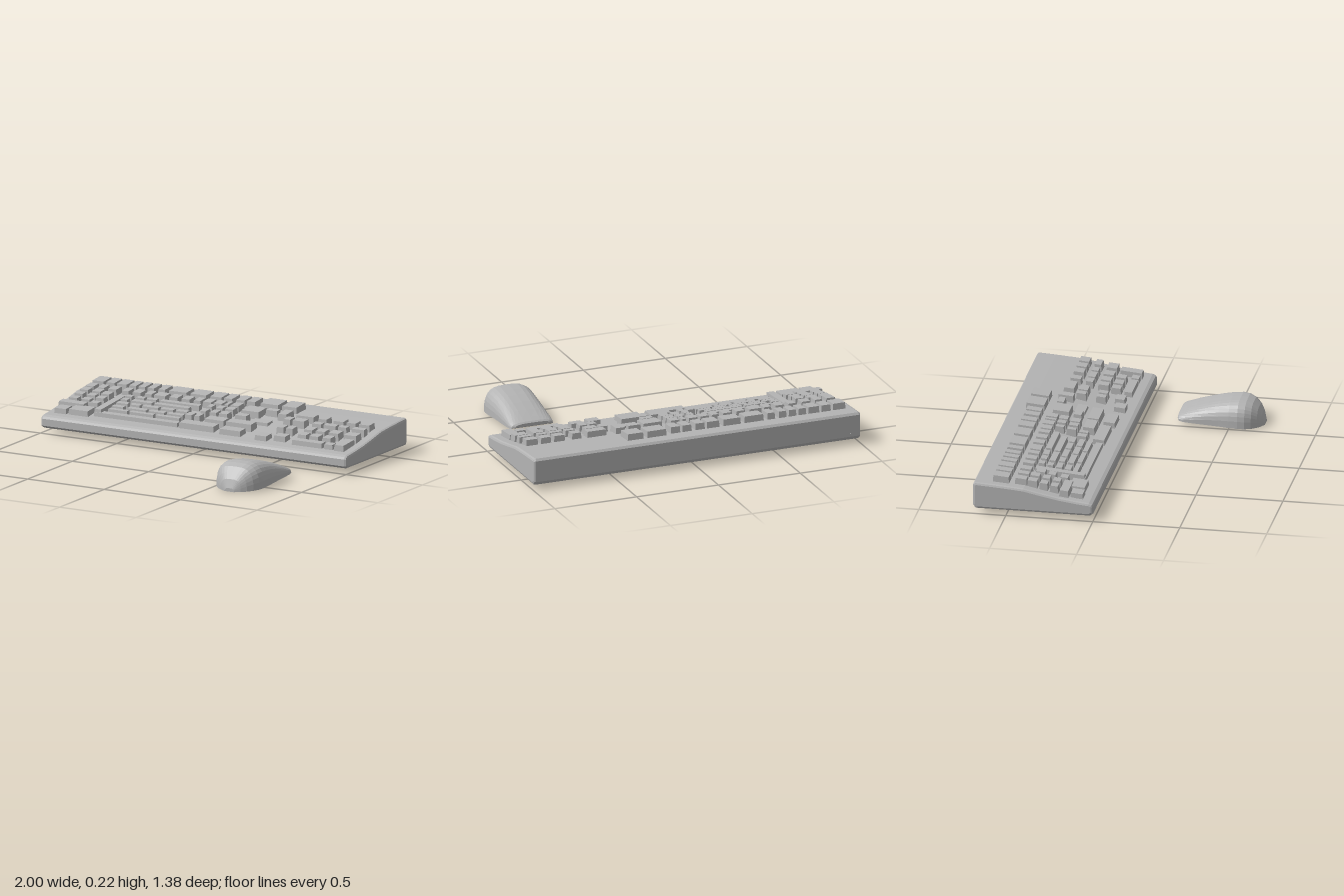
import * as THREE from 'three';

const grey = new THREE.MeshStandardMaterial({ color: 0xb4b4b4, flatShading: true });
grey.name = 'grey plastic';

// Piecewise linear lookup through [position, value] pairs
function lerpTable(table, t) {
  for (let i = 1; i < table.length; i++) {
    const [a, va] = table[i - 1], [b, vb] = table[i];
    if (t <= b) return va + (vb - va) * Math.max(0, (t - a) / (b - a));
  }
  return table[table.length - 1][1];
}

function add(parent, geometry, name) {
  const mesh = new THREE.Mesh(geometry, grey);
  mesh.name = name;
  parent.add(mesh);
  return mesh;
}

// Wedge case: side profile (depth from the front edge, height) extruded sideways
function makeCase() {
  const profile = [
    [0.02, 0.03], [0.675, 0.03], [0.69, 0.05], [0.69, 0.175], [0.68, 0.188], [0.58, 0.182],
    [0.48, 0.175], [0.4, 0.168], [0.3, 0.147], [0.2, 0.128], [0.1, 0.114], [0.025, 0.106],
    [0.006, 0.098], [0, 0.085], [0, 0.045],
  ];
  const shape = new THREE.Shape(profile.map(([d, y]) => new THREE.Vector2(d, y)));
  const bevel = 0.014;
  const geometry = new THREE.ExtrudeGeometry(shape, {
    depth: 2 - 2 * bevel, bevelSize: bevel, bevelOffset: -bevel, bevelThickness: bevel, bevelSegments: 2,
  });
  geometry.translate(0, 0, -1 + bevel);
  geometry.rotateY(Math.PI / 2);
  return geometry;
}

// Height of the key tops by depth from the front edge
const keyTop = [[0.05, 0.132], [0.1, 0.142], [0.18, 0.164], [0.24, 0.175], [0.3, 0.187], [0.4, 0.203], [0.54, 0.216]];

// Tapered key with a slightly tilted top
function makeKey(x0, x1, z0, z1, drop) {
  const w = x1 - x0, d = z1 - z0, mid = (z0 + z1) / 2;
  const top = lerpTable(keyTop, -mid) - drop, base = top - 0.06;
  const geometry = new THREE.BoxGeometry(w, 0.06, d);
  const p = geometry.attributes.position;
  for (let i = 0; i < p.count; i++) {
    const inset = p.getY(i) > 0 ? 0.004 : -0.001;
    const x = p.getX(i) - Math.sign(p.getX(i)) * inset;
    const z = p.getZ(i) - Math.sign(p.getZ(i)) * inset;
    p.setXYZ(i, x, p.getY(i) - z * 0.09, z);
  }
  geometry.translate((x0 + x1) / 2, base + 0.03, mid);
  geometry.computeVertexNormals();
  return geometry;
}

// Rows in hundredths: back edge, front edge, then left and right edge of each key
const functionRows = [
  [-58.5, -49, -95, -87, -86, -80, -79, -72, -71, -66, -65, -60, -59, -54, -52, -47, -45, -33, -31, -20,
    -18, -10, -9, -3, -1, 5, 6, 12],
  [-60, -49, 15, 27, 29, 39],
];
const mainRows = [
  [-46, -39, -94, -88, -86, -81, -79, -73, -70, -65, -63, -57, -55, -50, -49, -41, -39, -33, -31, -25,
    -23, -18, -17, -11, -10, -4, -3, 0, 1, 7],
  [-39, -33, -94, -88, -86, -80],
  [-37, -31, -79, -73],
  [-32, -27, -94, -88, -86, -80],
  [-30, -25, -79, -73],
  [-26, -21, -94, -88, -86, -80],
  [-23, -18, -79, -73],
  [-20, -14.5, -97, -80],
  [-14, -6.5, -95, -87],
  [-16.5, -7, -86, -73],
  [-38.5, -33, -11, -7, -5, 0, 1, 7],
  [-32, -26, -11, -7, -5, 0, 1, 7],
  [-25, -19, -17, -12, -11, -7],
  [-24, -17, -3, 10, 11, 28],
  [-16, -9, -15, 8],
  [-15, -8, 12, 26],
];
const innerRows = [
  [-39, -10, -71, -66],
  [-38, -34, -65, -60, -58, -52, -51, -44, -42, -16],
  [-33, -29, -65, -60, -58, -44, -43, -20],
  [-28, -24, -65, -57, -56, -49, -48, -37, -36, -27, -26, -18],
  [-23, -19, -65, -57, -55, -42, -41, -30, -29, -18],
  [-18.5, -15, -65, -52, -51, -35, -34, -18],
  [-14, -9.5, -71, -16],
];
const navigationRows = [
  [-44, -34, 11, 23],
  [-44, -39.5, 24, 32],
  [-45, -36, 34, 40],
  [-44, -37.5, 45, 57],
  [-36, -30, 41, 46, 47, 55],
  [-32, -27, 11, 19],
  [-25, -19, 43, 48, 49, 54],
  [-15, -9, 47, 55],
  [-13.5, -6.5, 36, 44],
];
const numberPadRows = [
  [-43, -36.5, 60, 66, 70, 77, 78.5, 85, 86.5, 94],
  [-34, -29.5, 60, 66.5, 67.5, 76, 77, 83, 86, 94.5],
  [-27, -20.5, 60, 66, 67.5, 74, 76, 83, 86, 94.5],
  [-19.5, -13.5, 60, 66, 67.5, 74, 76, 82],
  [-12, -7, 60, 80, 81, 87],
  [-19.5, -6.5, 88, 94.5],
];

function addKeys(parent, name, rows, drop = 0) {
  const block = new THREE.Group();
  block.name = name;
  for (const [back, front, ...edges] of rows) {
    for (let i = 0; i < edges.length; i += 2) {
      add(block, makeKey(edges[i] / 100, edges[i + 1] / 100, back / 100, front / 100, drop), 'key');
    }
  }
  parent.add(block);
}

// Mouse lofted front to back: z, half width, bottom height, top height
function makeMouse() {
  const sections = [
    [0.203, 0.105, 0.034, 0.052], [0.212, 0.127, 0.028, 0.06], [0.24, 0.134, 0.024, 0.072],
    [0.3, 0.137, 0.021, 0.096], [0.37, 0.139, 0.018, 0.119], [0.44, 0.142, 0.015, 0.138],
    [0.5, 0.146, 0.012, 0.149], [0.55, 0.147, 0.01, 0.154], [0.59, 0.14, 0.008, 0.149],
    [0.625, 0.122, 0.006, 0.133], [0.655, 0.095, 0.004, 0.104], [0.675, 0.066, 0.002, 0.07],
    [0.69, 0.03, 0, 0.02],
  ];
  const sides = 16, ring = sides + 1, pos = [], index = [];
  for (const [z, w, bottom, top] of sections) {
    for (let j = 0; j <= sides; j++) {
      const a = Math.PI * j / sides, c = Math.cos(a);
      const x = Math.sign(c) * Math.abs(c) ** 0.6 * w;
      pos.push(0.638 + x, bottom + (top - bottom) * Math.max(0, Math.sin(a)) ** 0.75, z);
    }
  }
  const last = (sections.length - 1) * ring;
  for (let i = 0; i < last; i += ring) {
    for (let j = 0; j < ring; j++) {
      const k = (j + 1) % ring;
      index.push(i + j, i + ring + k, i + ring + j, i + j, i + k, i + ring + k);
    }
  }
  // End caps
  for (let j = 1; j < sides; j++) {
    index.push(0, j + 1, j, last, last + j, last + j + 1);
  }
  // Keep the winding facing outwards
  for (let i = 0; i < index.length; i += 3) {
    [index[i + 1], index[i + 2]] = [index[i + 2], index[i + 1]];
  }
  if (!facesOut(pos, index)) index.reverse();
  const geometry = new THREE.BufferGeometry();
  geometry.setAttribute('position', new THREE.Float32BufferAttribute(pos, 3));
  geometry.setIndex(index);
  geometry.computeVertexNormals();
  return geometry;
}

// A closed surface faces outwards when its signed volume is positive
function facesOut(pos, index) {
  const at = (i) => new THREE.Vector3().fromArray(pos, i * 3);
  let volume = 0;
  for (let i = 0; i < index.length; i += 3) {
    volume += at(index[i]).dot(at(index[i + 1]).cross(at(index[i + 2])));
  }
  return volume > 0;
}

export function createModel() {
  const model = new THREE.Group();
  model.name = 'keyboardAndMouse';

  const keyboard = new THREE.Group();
  keyboard.name = 'keyboard';
  model.add(keyboard);
  add(keyboard, makeCase(), 'case');
  addKeys(keyboard, 'functionKeys', functionRows);
  addKeys(keyboard, 'mainKeys', mainRows);
  addKeys(keyboard, 'innerKeys', innerRows, 0.008);
  addKeys(keyboard, 'navigationKeys', navigationRows);
  addKeys(keyboard, 'flatKey', [[-33.5, -27, 21, 33]], 0.025);
  addKeys(keyboard, 'numberPad', numberPadRows);

  // Small cable socket on the back
  const socket = add(keyboard, new THREE.CylinderGeometry(0.008, 0.008, 0.004, 10), 'cableSocket');
  socket.rotation.x = Math.PI / 2;
  socket.position.set(-0.94, 0.065, -0.69);

  add(model, makeMouse(), 'mouse');
  return model;
}
